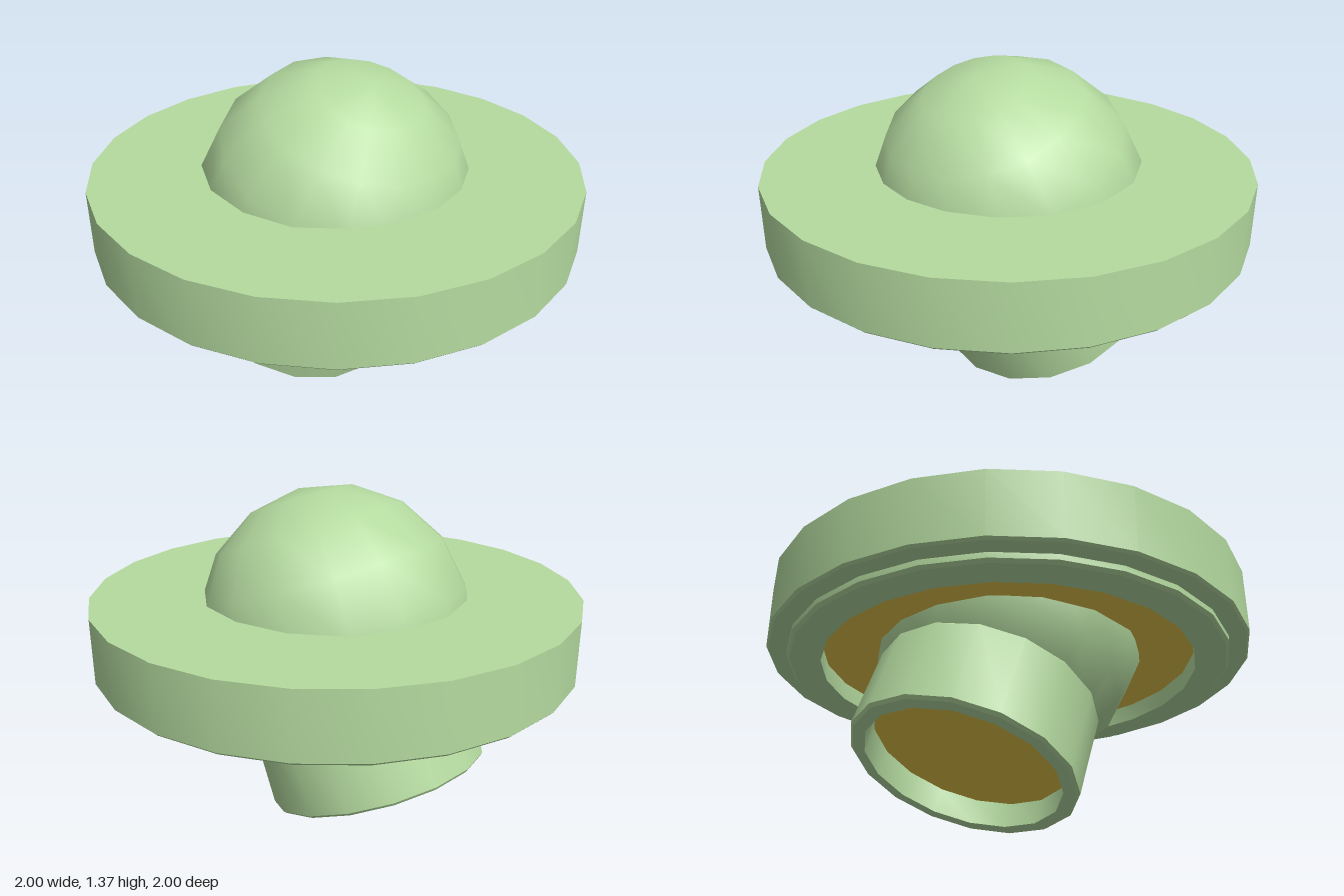
import * as THREE from 'three';
import { toCreasedNormals } from 'three/addons/utils/BufferGeometryUtils.js';

const green = new THREE.MeshStandardMaterial({ color: 0xb5dba0 });
const yellow = new THREE.MeshStandardMaterial({ color: 0xe6c84a });

// Turned part: profile of [radius, height] pairs, counter-clockwise
function turned(name, profile, sides) {
  const points = profile.map(([r, y]) => new THREE.Vector2(r, y));
  const geometry = toCreasedNormals(new THREE.LatheGeometry(points, sides), 0.5);
  const mesh = new THREE.Mesh(geometry, green);
  mesh.name = name;
  return mesh;
}

// Flat disc facing down, set inside a recess
function lens(name, radius, y, sides) {
  const geometry = new THREE.CircleGeometry(radius, sides);
  geometry.rotateX(Math.PI / 2);
  const mesh = new THREE.Mesh(geometry, yellow);
  mesh.name = name;
  mesh.position.y = y;
  return mesh;
}

export function createModel() {
  const model = new THREE.Group();
  model.name = 'discWithTiltedBall';

  // Wide disc with a small bevel below and a stepped lip around a recess
  model.add(turned('disc', [
    [0.78, 0.71], [0.78, 0.635], [0.905, 0.635], [0.918, 0.648], [0.918, 0.67],
    [0.99, 0.67], [1, 0.68], [1, 0.945], [0, 0.945],
  ], 24));
  model.add(lens('discLens', 0.78, 0.71, 24));

  // Ball and neck share one tilted axis through the disc centre
  const head = new THREE.Group();
  head.name = 'tiltedHead';
  head.position.y = 0.807;
  head.rotation.z = -Math.PI / 9;
  model.add(head);

  const ball = new THREE.Mesh(new THREE.SphereGeometry(0.568, 16, 8), green);
  ball.name = 'ball';
  head.add(ball);

  // Hollow neck, bevelled at both ends
  head.add(turned('neck', [
    [0.4, -0.58], [0.4, -0.69], [0.45, -0.69], [0.4625, -0.678],
    [0.4625, -0.335], [0.45, -0.322], [0.36, -0.322],
  ], 16));
  head.add(lens('neckLens', 0.4, -0.58, 16));

  return model;
}
